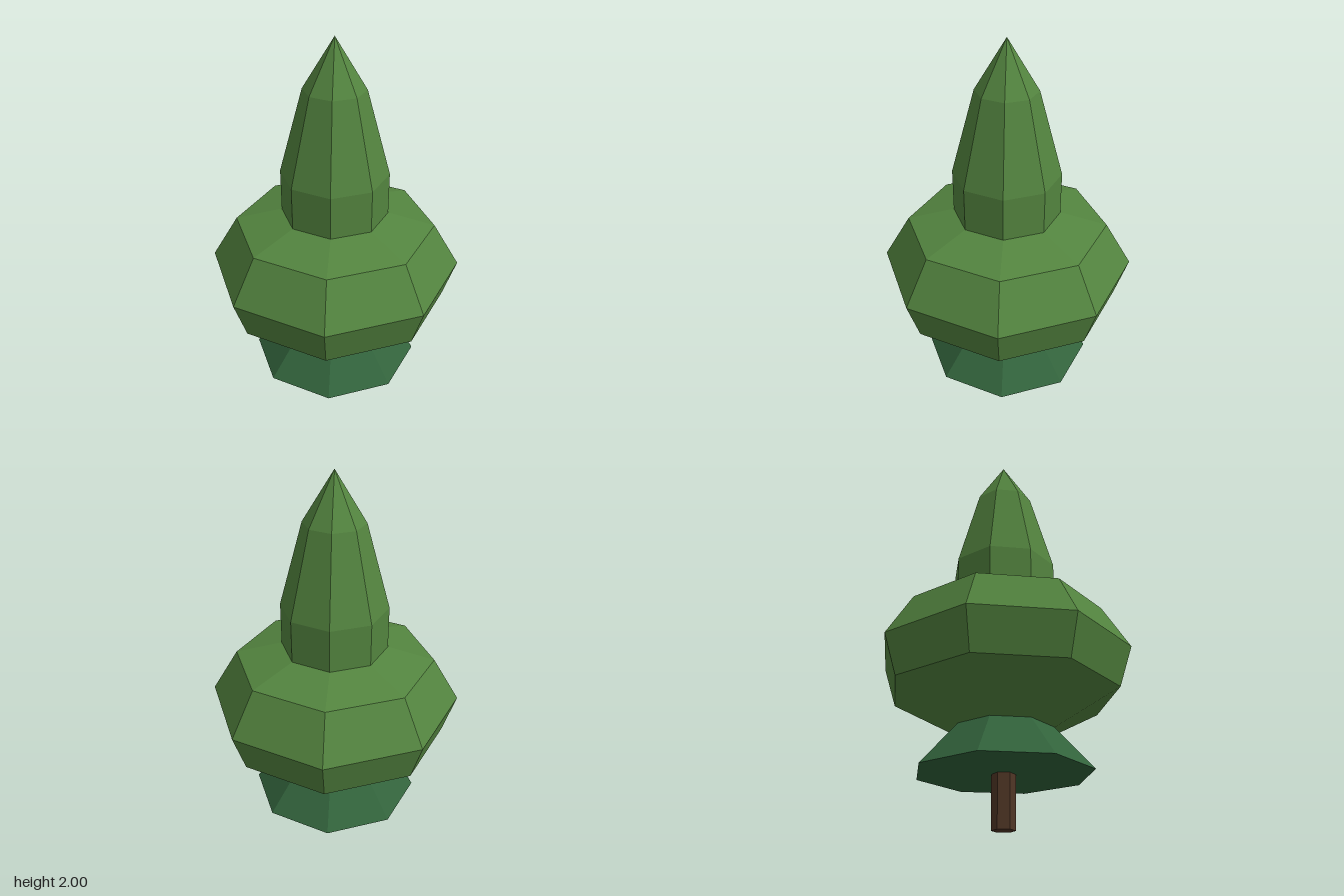
import * as THREE from 'three';

const SIDES = 8;

// Flat-shaded faceted solid of revolution; profile runs bottom to top as [radius, y]
function facetedLathe(name, profile, sides, color) {
  const points = profile.map(([r, y]) => new THREE.Vector2(r, y));
  const mesh = new THREE.Mesh(
    new THREE.LatheGeometry(points, sides),
    new THREE.MeshStandardMaterial({ color, flatShading: true })
  );
  mesh.name = name;
  return mesh;
}

export function createModel() {
  const tree = new THREE.Group();
  tree.name = 'tree';

  // Six-sided trunk, running up into the foliage
  tree.add(facetedLathe('trunk',
    [[0, 0], [0.057, 0], [0.057, 0.4], [0, 0.4]], 6, 0x503626));

  // Flared lowest tier of branches, closed underneath
  tree.add(facetedLathe('lowerSkirt',
    [[0, 0.255], [0.43, 0.255], [0.245, 0.465], [0, 0.465]], SIDES, 0x32633c));

  // Bulging middle tier and tall pointed top in one outline
  tree.add(facetedLathe('crown', [
    [0, 0.465], [0.25, 0.465], [0.567, 0.637], [0.632, 0.835], [0.5, 1.055],
    [0.266, 1.12], [0.266, 1.335], [0.15, 1.757], [0, 2],
  ], SIDES, 0x53843f));

  return tree;
}
